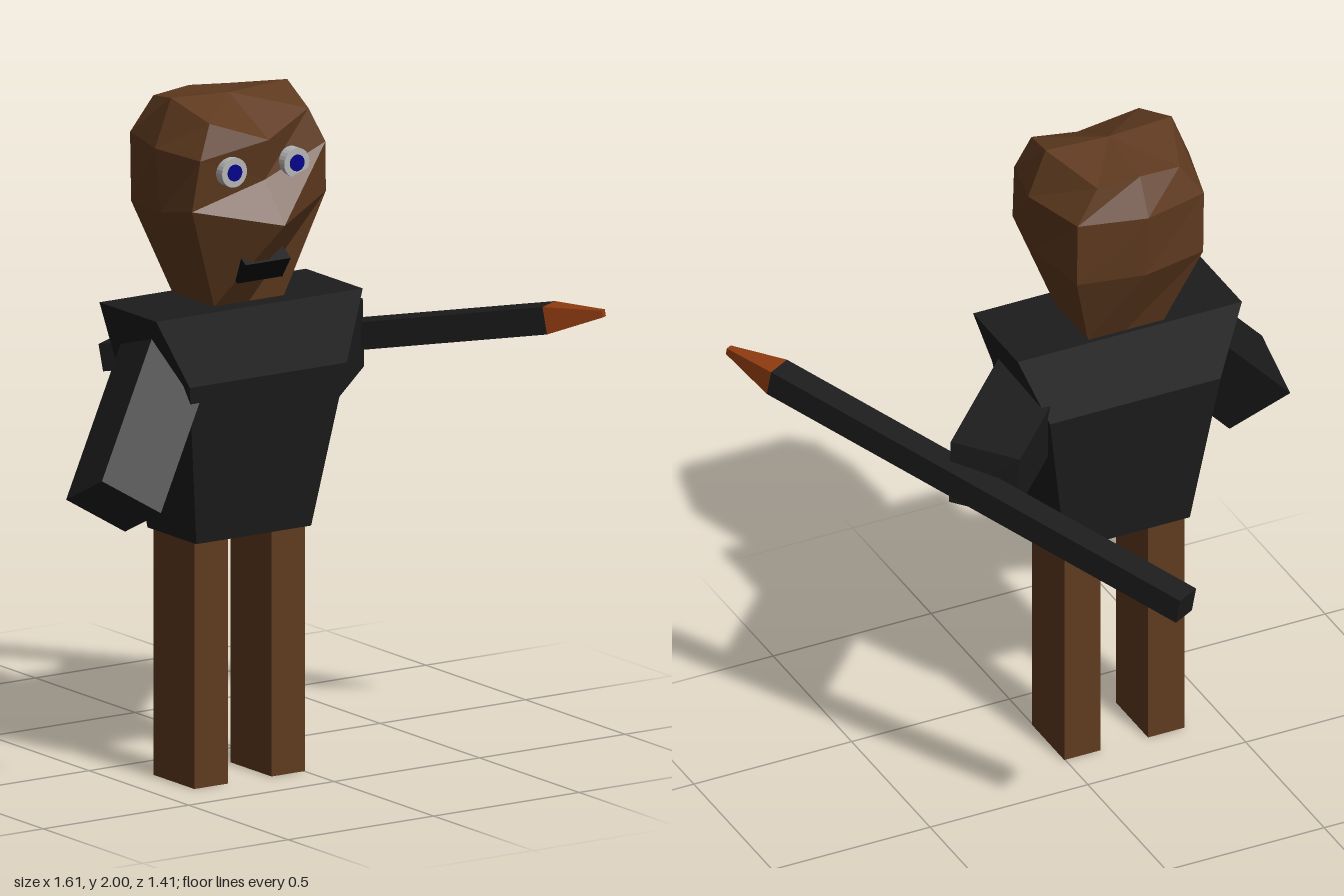
import * as THREE from 'three';

const mat = (color) => new THREE.MeshStandardMaterial({ color, flatShading: true });
const skin = mat(0x5f3a1f), cloth = mat(0x1c1c1c), ember = mat(0x8f3c10);
const eyeWhite = mat(0xb4b4b4), pupilBlue = mat(0x00008b), black = mat(0x080808);

// Joins rings of points (counter-clockwise seen from the last ring) and caps both ends
function loft(rings, topCentre) {
  const n = rings[0].length, pos = [];
  const tri = (a, b, c) => pos.push(...a, ...b, ...c);
  const mean = (r) => [0, 1, 2].map((k) => r.reduce((s, p) => s + p[k], 0) / n);
  const last = rings[rings.length - 1];
  const c0 = mean(rings[0]), c1 = topCentre || mean(last);
  for (let i = 0; i < n; i++) {
    const j = (i + 1) % n;
    for (let k = 0; k < rings.length - 1; k++) {
      const lo = rings[k], hi = rings[k + 1];
      tri(lo[i], lo[j], hi[j]);
      tri(lo[i], hi[j], hi[i]);
    }
    tri(c0, rings[0][j], rings[0][i]);
    tri(c1, last[i], last[j]);
  }
  const g = new THREE.BufferGeometry();
  g.setAttribute('position', new THREE.Float32BufferAttribute(pos, 3));
  g.computeVertexNormals();
  return g;
}

const rect = (y, x0, x1, z0, z1) => [[x0, y, z1], [x1, y, z1], [x1, y, z0], [x0, y, z0]];

// Arm: the hand-end quad swept back by an offset into the torso
const arm = (end, off) => loft([end.map((p) => p.map((v, k) => v + off[k])), end]);

const CX = -0.19; // the figure's own middle line

// Mirrored head ring from [half width, y, z] for front middle, front corner, side, back corner, back middle
function headRing([f, fc, s, bc, b]) {
  const at = (p, sign) => [CX + sign * p[0], p[1], p[2]];
  return [at(f, 1), at(fc, 1), at(s, 1), at(bc, 1), at(b, 1), at(bc, -1), at(s, -1), at(fc, -1)];
}

export function createModel() {
  const model = new THREE.Group();
  const add = (name, geometry, material, parent = model) => {
    const m = new THREE.Mesh(geometry, material);
    m.name = name;
    parent.add(m);
    return m;
  };

  // Legs
  for (const [name, x] of [['rightLeg', -0.32], ['leftLeg', -0.055]]) {
    add(name, new THREE.BoxGeometry(0.115, 0.72, 0.205), skin).position.set(x, 0.36, 0.2475);
  }

  // Torso, broad at the shoulders
  add('torso', loft([
    rect(0.72, -0.385, 0.01, 0.125, 0.37),
    rect(1.2, -0.455, 0.085, 0.07, 0.44),
    rect(1.4, -0.55, 0.16, 0.125, 0.41),
  ]), cloth);

  // Arms
  add('rightArm', arm([
    [-0.805, 0.99, 0.51], [-0.805, 0.9, 0.33], [-0.64, 0.795, 0.385], [-0.64, 0.885, 0.565],
  ], [0.324, 0.384, -0.192]), cloth);
  add('leftArm', arm([
    [0.42, 1.26, 0.03], [0.425, 1.06, 0.03], [0.29, 1.045, -0.105], [0.275, 1.245, -0.12],
  ], [-0.37, 0.012, 0.38]), cloth);

  // Head, with a pointed nose and a sunken brow
  const head = new THREE.Group();
  head.name = 'head';
  model.add(head);
  add('skull', loft([
    headRing([[0, 1.4, 0.35], [0.12, 1.4, 0.35], [0.12, 1.4, 0.25], [0.12, 1.4, 0.14], [0, 1.4, 0.14]]),
    headRing([[0, 1.655, 0.53], [0.23, 1.7, 0.4], [0.235, 1.67, 0.25], [0.2, 1.66, 0.05], [0, 1.66, 0.01]]),
    headRing([[0, 1.77, 0.43], [0.215, 1.85, 0.42], [0.255, 1.86, 0.25], [0.2, 1.86, 0.045], [0, 1.86, -0.005]]),
    headRing([[0, 1.89, 0.45], [0.17, 1.95, 0.4], [0.2, 2, 0.25], [0.13, 1.96, 0.06], [0, 1.97, 0.05]]),
  ], [CX, 1.99, 0.25]), skin, head);

  // Eyes
  for (const [side, x] of [['right', -0.308], ['left', -0.094]]) {
    const disc = (r, d) => new THREE.CylinderGeometry(r, r, d, 24).rotateX(Math.PI / 2);
    add(side + 'Eye', disc(0.043, 0.05), eyeWhite, head).position.set(x, 1.81, 0.425);
    add(side + 'Pupil', disc(0.024, 0.05), pupilBlue, head).position.set(x, 1.81, 0.429);
  }

  // Mouth, lying along the slope under the nose
  const mouth = add('mouth', new THREE.BoxGeometry(0.155, 0.075, 0.05), black, head);
  mouth.position.set(-0.197, 1.52, 0.415);
  mouth.rotation.x = 0.6;

  // Stick with a glowing tapered tip
  const stick = new THREE.Group();
  stick.name = 'stick';
  stick.position.set(0.027, 1.005, -0.68);
  stick.lookAt(0.712, 1.265, 0.545);
  model.add(stick);
  add('shaft', new THREE.BoxGeometry(0.08, 0.08, 1.43), cloth, stick).position.z = 0.715;
  const tip = new THREE.CylinderGeometry(0.014, 0.0566, 0.17, 4).rotateY(Math.PI / 4).rotateX(Math.PI / 2);
  add('stickTip', tip, ember, stick).position.z = 1.515;

  return model;
}
